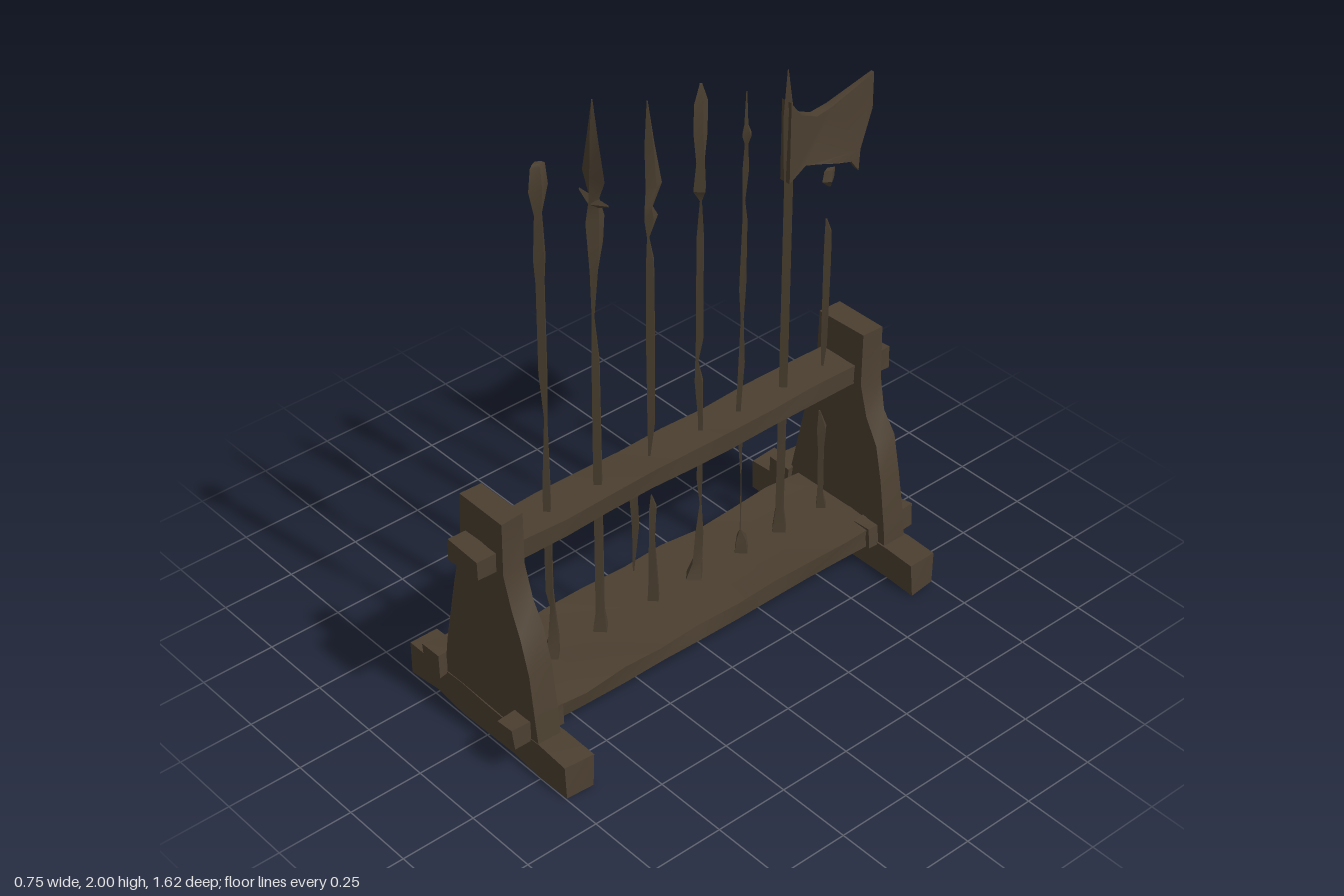
import * as THREE from 'three';
import { toCreasedNormals } from 'three/addons/utils/BufferGeometryUtils.js';

const wood = new THREE.MeshStandardMaterial({ color: 0x4b3f30 });
wood.name = 'dark weathered wood';

// Repeatable offset from a position, so coincident corners stay together
const noise = (x, y, z, k) => {
  const s = Math.sin(x * 127.1 + y * 311.7 + z * 74.7 + k * 53.3) * 43758.5453;
  return (s - Math.floor(s)) * 2 - 1;
};

function roughen(geo, amount) {
  const p = geo.attributes.position;
  for (let i = 0; i < p.count; i++) {
    const c = [p.getX(i), p.getY(i), p.getZ(i)].map((v) => Math.round(v * 1000) / 1000);
    p.setXYZ(i, ...c.map((v, k) => v + amount * noise(...c, k)));
  }
  return geo;
}

function part(name, geo, crease = 0.7) {
  const mesh = new THREE.Mesh(toCreasedNormals(geo, crease), wood);
  mesh.name = name;
  return mesh;
}

// Rough-hewn beam given by its limits on each axis
function beam(name, [x0, x1], [y0, y1], [z0, z1], segs = [1, 1, 1], amount = 0.006) {
  const geo = new THREE.BoxGeometry(x1 - x0, y1 - y0, z1 - z0, ...segs);
  geo.translate((x0 + x1) / 2, (y0 + y1) / 2, (z0 + z1) / 2);
  return part(name, roughen(geo, amount));
}

// Four-sided column through rows of [y, z, half depth, half width]
function column(name, rows) {
  const pos = [], idx = [];
  for (const [y, z, hz, hx = hz] of rows) pos.push(hx, y, z, 0, y, z + hz, -hx, y, z, 0, y, z - hz);
  for (let j = 0; j < rows.length - 1; j++) {
    for (let i = 0; i < 4; i++) {
      const a = j * 4 + i, b = j * 4 + (i + 1) % 4;
      idx.push(a, a + 4, b, b, a + 4, b + 4);
    }
  }
  const t = (rows.length - 1) * 4;
  idx.push(0, 1, 2, 0, 2, 3, t, t + 2, t + 1, t, t + 3, t + 2);
  const geo = new THREE.BufferGeometry();
  geo.setAttribute('position', new THREE.Float32BufferAttribute(pos, 3));
  geo.setIndex(idx);
  return part(name, geo, 0.5);
}

function outline(points) {
  return new THREE.Shape(points.map(([x, y]) => new THREE.Vector2(x, y)));
}

// Flared end board with its foot and pegs, at one end of the rack
function endFrame(side) {
  const g = new THREE.Group();
  g.name = side > 0 ? 'frontEnd' : 'backEnd';
  const span = (a, b) => (side > 0 ? [a, b] : [-b, -a]);
  g.add(beam('foot', [-0.37, 0.365], [0.005, 0.115], span(0.65, 0.745), [6, 1, 1]));
  const board = new THREE.ExtrudeGeometry(outline([
    [-0.24, 0.1], [0.235, 0.1], [0.225, 0.18], [0.2, 0.35], [0.17, 0.47], [0.125, 0.55],
    [0.1, 0.66], [0.095, 0.84], [-0.095, 0.84], [-0.1, 0.66], [-0.135, 0.5], [-0.19, 0.25], [-0.205, 0.17],
  ]), { depth: 0.08, bevelEnabled: false });
  board.translate(0, 0, side > 0 ? 0.66 : -0.74);
  g.add(part('endBoard', roughen(board, 0.004)));
  g.add(beam('leftPeg', [0.125, 0.2], [0.105, 0.18], span(0.62, 0.805), [1, 1, 2]));
  g.add(beam('rightPeg', [-0.275, -0.2], [0.105, 0.18], span(0.64, 0.765), [1, 1, 2]));
  return g;
}

export function createModel() {
  const model = new THREE.Group();
  model.name = 'weaponRack';
  model.add(endFrame(1), endFrame(-1));

  // Long boards joining the ends
  model.add(beam('basePlank', [-0.172, 0.188], [0.11, 0.17], [-0.68, 0.68], [3, 1, 9], 0.008));
  model.add(beam('topRail', [-0.078, 0.068], [0.652, 0.718], [-0.805, 0.805], [1, 1, 10], 0.005));

  // Worn shafts and blades, some broken into separate lengths
  const weapons = {
    spikedPole: [
      [[0.17, 0.5, 0.032], [0.23, 0.49, 0.022], [0.35, 0.49, 0.01], [0.42, 0.5, 0.015], [0.8, 0.5, 0.015],
        [1.04, 0.495, 0.006], [1.2, 0.5, 0.016], [1.5, 0.5, 0.016], [1.58, 0.5, 0.022], [1.72, 0.5, 0.014],
        [1.8, 0.497, 0.034, 0.018], [1.87, 0.497, 0.026, 0.012], [1.88, 0.5, 0.016, 0.008]],
    ],
    spear: [
      [[0.17, 0.31, 0.03], [0.24, 0.31, 0.018], [0.8, 0.31, 0.017], [1.15, 0.31, 0.015], [1.3, 0.316, 0.005],
        [1.45, 0.31, 0.015], [1.54, 0.303, 0.028, 0.016], [1.62, 0.303, 0.034, 0.018], [1.69, 0.306, 0.018, 0.02],
        [1.76, 0.306, 0.014, 0.048], [1.88, 0.306, 0.011, 0.024], [2, 0.306, 0.002]],
    ],
    hookedBlade: [
      [[0.17, 0.1, 0.024], [0.24, 0.1, 0.02], [0.4, 0.105, 0.012], [0.52, 0.1, 0.015], [0.57, 0.106, 0.002]],
      [[0.32, 0.178, 0.003], [0.48, 0.168, 0.014], [0.6, 0.175, 0.016], [0.66, 0.15, 0.03]],
      [[0.7, 0.114, 0.003], [0.82, 0.105, 0.014], [1.1, 0.105, 0.017], [1.4, 0.105, 0.015], [1.48, 0.112, 0.004],
        [1.54, 0.1, 0.025, 0.012], [1.58, 0.11, 0.014], [1.64, 0.09, 0.03, 0.012], [1.78, 0.105, 0.018],
        [1.92, 0.112, 0.002]],
    ],
    glaive: [
      [[0.17, -0.065, 0.034], [0.22, -0.078, 0.02], [0.32, -0.085, 0.017], [0.44, -0.09, 0.004],
        [0.54, -0.085, 0.012], [0.7, -0.088, 0.01], [0.76, -0.088, 0.01], [0.9, -0.08, 0.016], [0.97, -0.072, 0.006],
        [1.05, -0.083, 0.015], [1.4, -0.083, 0.014], [1.52, -0.085, 0.004], [1.56, -0.08, 0.024],
        [1.65, -0.083, 0.016], [1.74, -0.083, 0.026, 0.012], [1.84, -0.083, 0.026, 0.012], [1.9, -0.083, 0.005]],
    ],
    lightSpear: [
      [[0.17, -0.26, 0.028], [0.22, -0.26, 0.02], [0.25, -0.255, 0.003], [0.45, -0.255, 0.002],
        [0.58, -0.25, 0.008], [0.72, -0.24, 0.01], [0.88, -0.25, 0.013], [1.04, -0.25, 0.006],
        [1.15, -0.25, 0.014], [1.38, -0.255, 0.01], [1.45, -0.25, 0.005], [1.55, -0.255, 0.013],
        [1.64, -0.257, 0.007], [1.67, -0.258, 0.018], [1.7, -0.255, 0.008], [1.81, -0.255, 0.002]],
    ],
    battleAxe: [
      [[0.17, -0.42, 0.03], [0.25, -0.42, 0.018], [0.8, -0.423, 0.018], [1.42, -0.425, 0.018],
        [1.66, -0.42, 0.022, 0.018], [1.72, -0.417, 0.014], [1.82, -0.413, 0.002]],
    ],
    brokenPole: [
      [[0.17, -0.6, 0.022], [0.22, -0.595, 0.013], [0.4, -0.592, 0.013], [0.48, -0.592, 0.02], [0.55, -0.58, 0.003]],
      [[0.7, -0.585, 0.003], [0.8, -0.59, 0.013], [1.1, -0.592, 0.016], [1.2, -0.592, 0.014], [1.25, -0.583, 0.003]],
      [[1.36, -0.592, 0.003], [1.385, -0.585, 0.024, 0.016], [1.42, -0.59, 0.022, 0.01]],
    ],
  };
  for (const [name, lengths] of Object.entries(weapons)) {
    const g = new THREE.Group();
    g.name = name;
    lengths.forEach((rows) => g.add(column('shaftLength', rows)));
    model.add(g);
  }

  // Small crossguard under the spear head
  const guard = new THREE.CylinderGeometry(0.003, 0.018, 0.06, 4);
  guard.rotateZ(Math.PI / 2);
  for (const s of [-1, 1]) {
    const half = guard.clone();
    if (s > 0) half.rotateY(Math.PI);
    half.rotateZ(s * 0.25).translate(s * 0.032, 1.685, 0.306);
    model.add(part('spearGuard', half, 0.5));
  }

  // Broad axe blade, thinning towards its edge
  const blade = new THREE.ExtrudeGeometry(outline([
    [0.41, 1.45], [0.47, 1.49], [0.52, 1.475], [0.6, 1.445], [0.66, 1.425], [0.695, 1.38], [0.7, 1.45],
    [0.75, 1.57], [0.75, 1.69], [0.66, 1.672], [0.57, 1.65], [0.51, 1.64], [0.45, 1.665], [0.41, 1.72],
  ]), { depth: 2, steps: 1, bevelEnabled: false });
  blade.translate(0, 0, -1).rotateY(Math.PI / 2);
  const p = blade.attributes.position;
  for (let i = 0; i < p.count; i++) {
    const reach = (-p.getZ(i) - 0.41) / 0.34;
    p.setX(i, p.getX(i) * (0.02 - 0.014 * reach) + 0.01 * Math.sin(reach * 3));
  }
  model.add(part('axeBlade', blade));

  return model;
}
